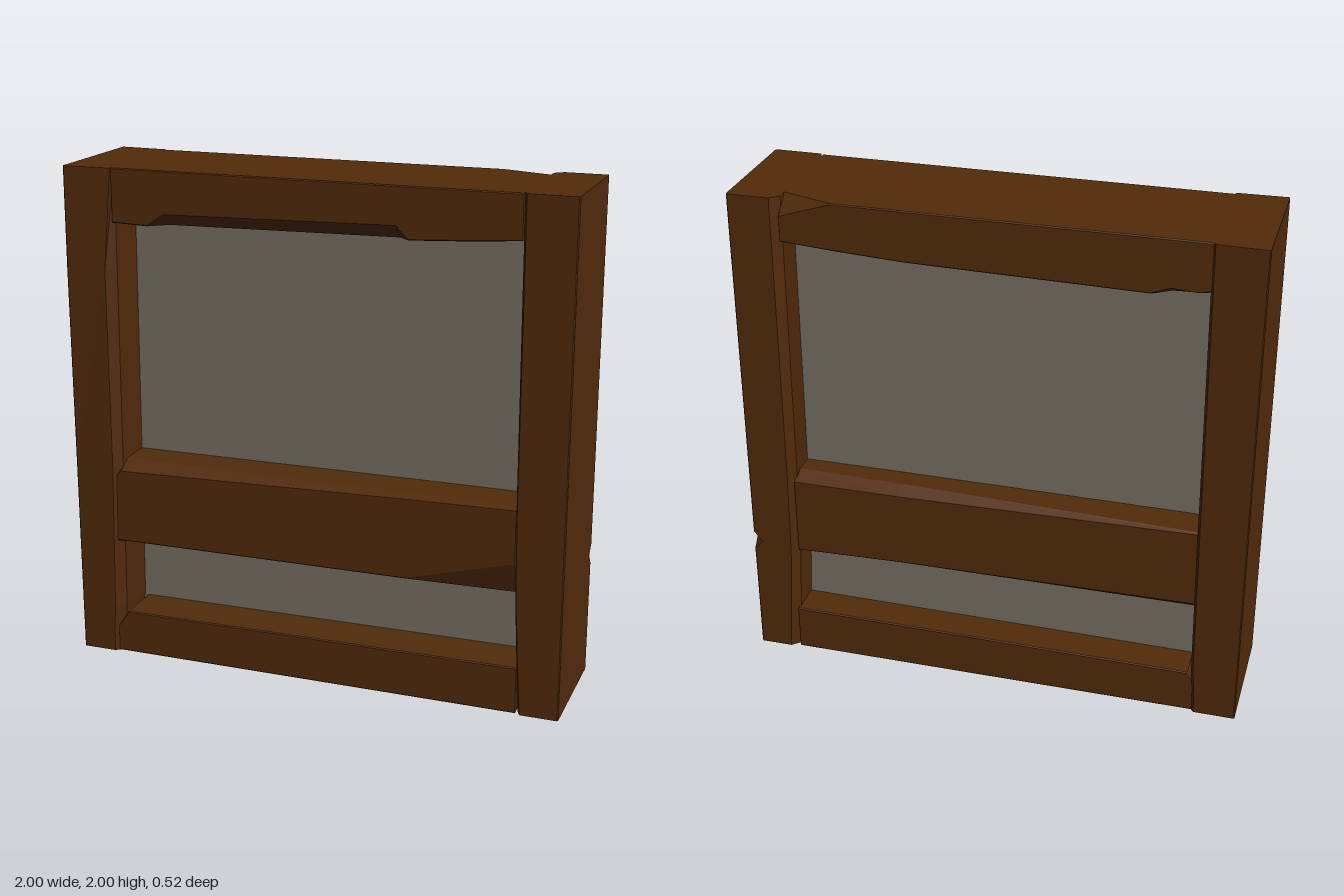
import * as THREE from 'three';

const wood = new THREE.MeshStandardMaterial({ color: 0x522b0a });
wood.name = 'dark wood';
const plaster = new THREE.MeshStandardMaterial({ color: 0x787065 });
plaster.name = 'grey plaster';

const E = [0.004, 0.004]; // barely worn corner

// Cross-section of a beam: lo/hi edges, half depth z, and a [height, depth] cut
// for each corner (low/high, back/front). flare widens the depth at the high edge.
function section({ lo, hi, z = 0.247, flare = 0, lb = E, hb = E, hf = E, lf = E }) {
  const h = z + flare;
  return [
    [lo + lb[0], -z], [hi - hb[0], -h], [hi, -h + hb[1]], [hi, h - hf[1]],
    [hi - hf[0], h], [lo + lf[0], z], [lo, z - lf[1]], [lo, -z + lb[1]],
  ];
}

// Faceted beam along x through a list of { at, ...section } stations
function beam(stations) {
  const rings = stations.map((s) => section(s).map(([y, z]) => [s.at, y, z]));
  const pos = [];
  const tri = (a, b, c) => pos.push(...a, ...b, ...c);
  for (let i = 0; i < rings.length - 1; i++) {
    for (let j = 0; j < 8; j++) {
      const k = (j + 1) % 8;
      const [p, q] = [rings[i], rings[i + 1]];
      tri(p[j], p[k], q[k]);
      tri(p[j], q[k], q[j]);
    }
  }
  const first = rings[0], last = rings[rings.length - 1];
  for (let j = 1; j < 7; j++) {
    tri(first[0], first[j + 1], first[j]);
    tri(last[0], last[j], last[j + 1]);
  }
  const geo = new THREE.BufferGeometry();
  geo.setAttribute('position', new THREE.Float32BufferAttribute(pos, 3));
  geo.computeVertexNormals();
  return geo;
}

export function createModel() {
  const group = new THREE.Group();
  const add = (name, geo, mat = wood) => {
    const mesh = new THREE.Mesh(geo, mat);
    mesh.name = name;
    group.add(mesh);
  };

  // Posts are beams turned upright: section height h lands at x = -h
  const post = (name, stations) => add(name, beam(stations).rotateZ(Math.PI / 2));

  // Post on the -x side: [y, inner edge, front bevel width, flare of the outer edge]
  post('rightPost', [
    [0, 0.825, 0.035, 0.001], [0.1, 0.823, 0.037, 0.001], [0.2, 0.815, 0.038, 0.002],
    [0.8, 0.808, 0.032, 0.004], [1.6, 0.802, 0.038, 0.009], [2, 0.799, 0.004, 0.006],
  ].map(([at, lo, w, flare]) => ({
    at, lo, hi: 1, z: 0.251, flare, lf: [w, 0.03], lb: [0.01, 0.012],
  })));

  // Post on the +x side: [y, inner edge, front bevel width, nick in the outer back edge]
  post('leftPost', [
    [0, 0.835, 0.015, 0.004], [0.2, 0.825, 0.012, 0.004], [0.46, 0.812, 0.01, 0.004],
    [0.5, 0.811, 0.01, 0.035], [0.54, 0.81, 0.01, 0.004], [0.85, 0.805, 0.01, 0.004],
    [2, 0.798, 0.014, 0.004],
  ].map(([at, inner, w, nick]) => ({
    at, lo: -1, hi: -inner, hf: [w, 0.03], hb: [w + 0.02, 0.03], lb: [nick, nick],
  })));

  // Top rail with a long chip under the front and broken back corners
  add('topRail', beam([
    { at: -0.804, lo: 1.79, hi: 2, lb: [0.03, 0.06] },
    { at: -0.76, lo: 1.788, hi: 2, lb: [0.02, 0.05] },
    { at: -0.66, lo: 1.785, hi: 2, lb: [0.03, 0.05] },
    { at: -0.59, lo: 1.785, hi: 2, lf: [0.05, 0.06] },
    { at: 0.33, lo: 1.8, hi: 2, lf: [0.055, 0.06] },
    { at: 0.38, lo: 1.803, hi: 2 },
    { at: 0.6, lo: 1.815, hi: 2 },
    { at: 0.8, lo: 1.83, hi: 2, hb: [0.07, 0.07] },
  ].map((s) => ({ z: 0.243, ...s }))));

  // Middle rail with a worn top edge and a split lower corner
  add('middleRail', beam([
    { at: -0.835, lo: 0.485, hi: 0.79, hf: [0.03, 0.05], hb: [0.006, 0.01], lb: [0.02, 0.02] },
    { at: -0.81, lo: 0.487, hi: 0.825, hf: [0.04, 0.06], hb: [0.006, 0.01], lb: [0.02, 0.02] },
    { at: 0.38, lo: 0.492, hi: 0.83, hf: [0.015, 0.04], hb: [0.03, 0.05] },
    { at: 0.81, lo: 0.48, hi: 0.83, hf: [0.008, 0.02], hb: [0.03, 0.06], lf: [0.13, 0.05] },
  ].map((s) => ({ z: 0.24, ...s }))));

  // Bottom rail
  add('bottomRail', beam([
    { at: -0.845, lo: 0, hi: 0.11 },
    { at: -0.8, lo: 0, hi: 0.178 },
    { at: 0.83, lo: 0, hi: 0.19 },
  ].map((s) => ({ z: 0.24, ...s }))));

  // Infill panel set between the posts, nearer the back
  add('infillPanel', new THREE.BoxGeometry(1.74, 1.76, 0.15).translate(0, 0.99, -0.025), plaster);

  return group;
}
